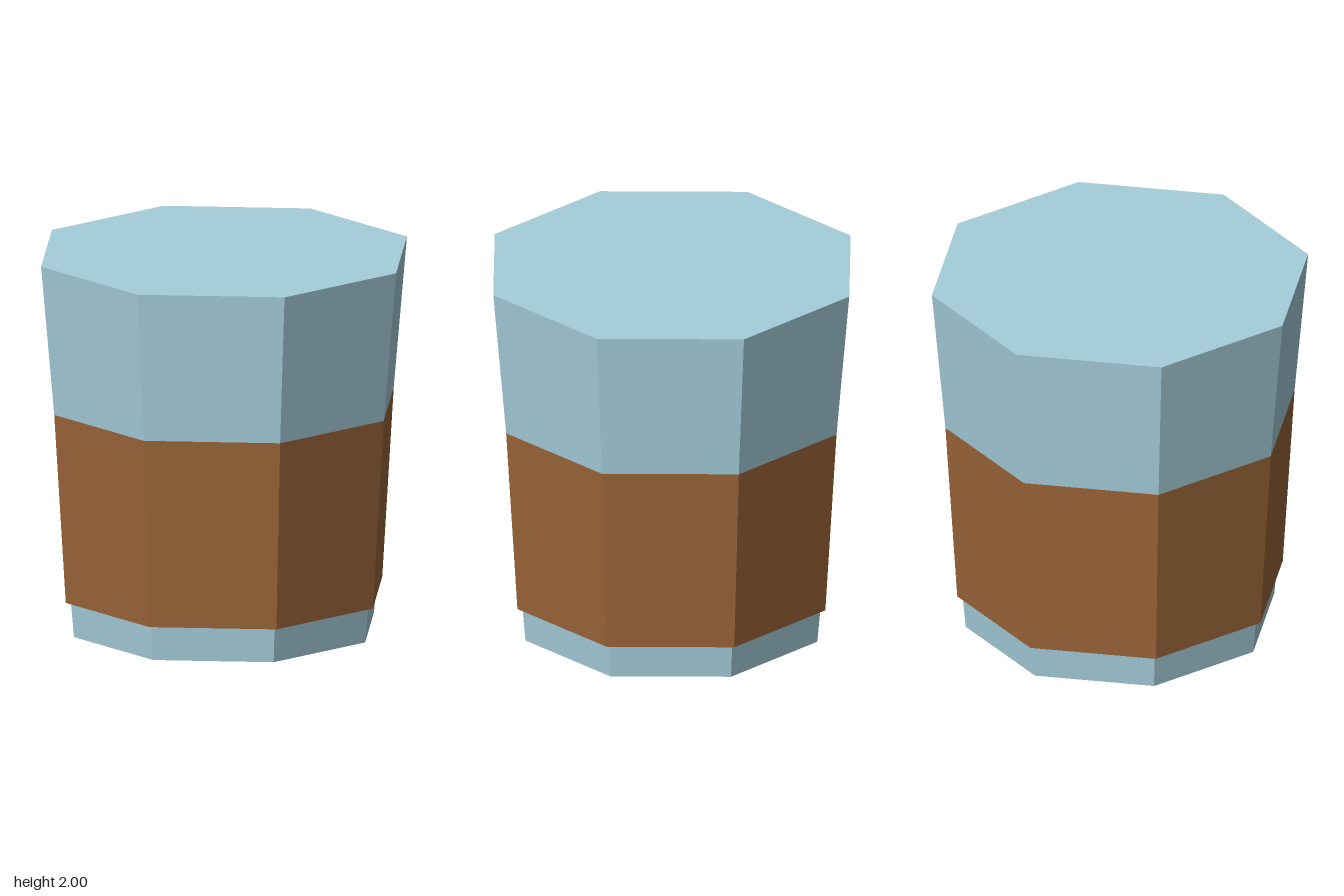
import * as THREE from 'three';

const SIDES = 8;

// Tapered eight-sided solid standing between two heights
function taper(name, rTop, rBottom, y0, y1, material) {
  const geometry = new THREE.CylinderGeometry(rTop, rBottom, y1 - y0, SIDES).toNonIndexed();
  geometry.computeVertexNormals(); // flat facets
  const mesh = new THREE.Mesh(geometry, material);
  mesh.name = name;
  mesh.position.y = (y0 + y1) / 2;
  return mesh;
}

export function createModel() {
  const glass = new THREE.MeshStandardMaterial({ color: 0xa5cedb });
  glass.name = 'pale blue glass';
  const drink = new THREE.MeshStandardMaterial({ color: 0x9b6539 });
  drink.name = 'brown drink';

  const model = new THREE.Group();
  model.name = 'tumbler';

  // Glass body, flaring towards the rim
  model.add(taper('glassBody', 1.0, 0.82, 0, 2, glass));

  // Drink band, overhanging the base and meeting the glass flush at its top
  model.add(taper('drinkBand', 0.928, 0.865, 0.187, 1.2, drink));

  return model;
}
